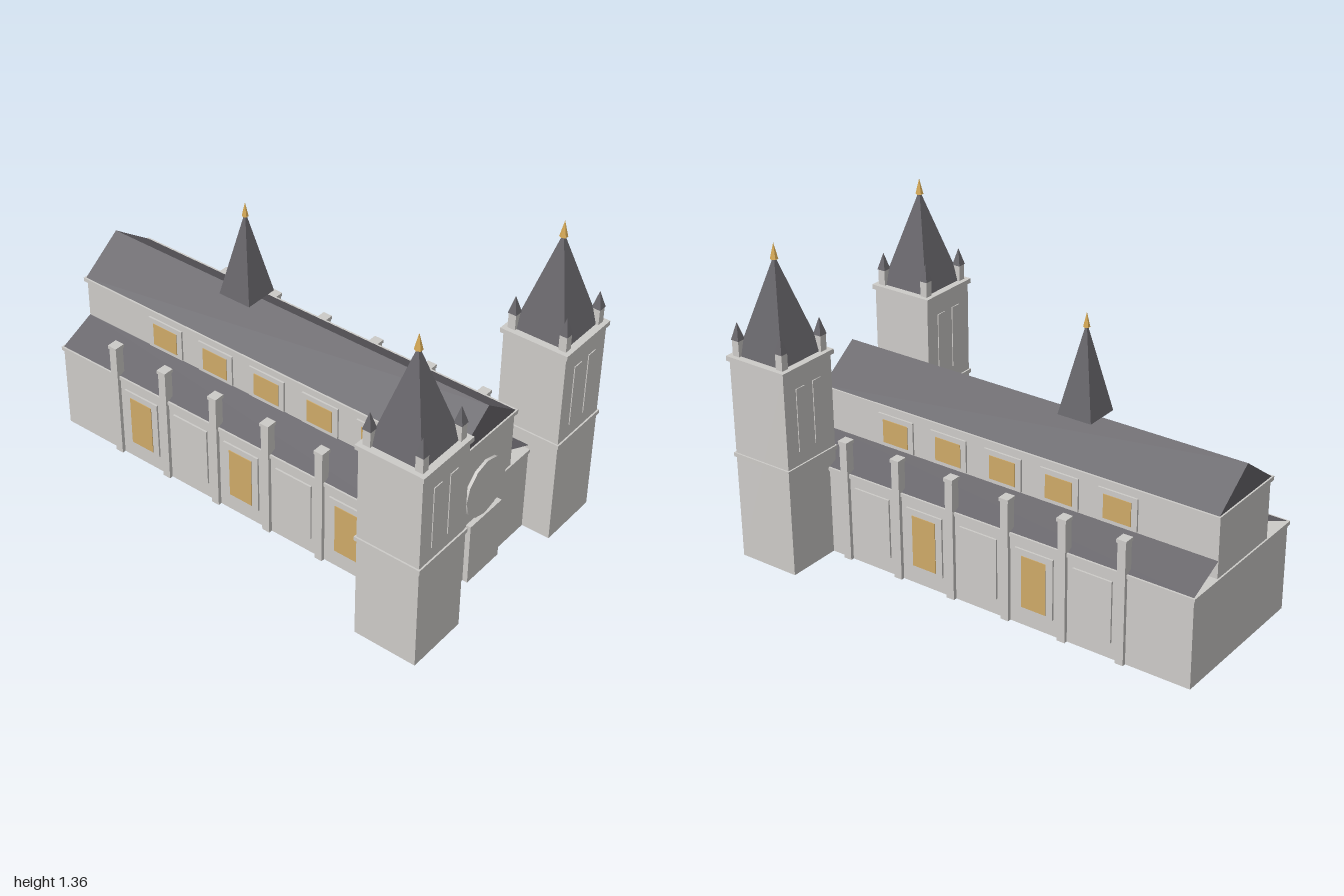
import * as THREE from 'three';

const mat = (name, color, opts = {}) => {
  const m = new THREE.MeshStandardMaterial({ color, ...opts });
  m.name = name;
  return m;
};

export function createModel() {
  const stone = mat('stone', 0xcdcbc8);
  const slate = mat('slate', 0x67656a, { flatShading: true });
  const slateSheet = mat('slateSheet', 0x67656a, { side: THREE.DoubleSide });
  const glass = mat('amberGlass', 0xcfaa68);
  const gold = mat('gold', 0xd6a955, { flatShading: true });

  const model = new THREE.Group();
  model.name = 'church';

  const add = (parent, name, geo, material, x, y, z) => {
    const mesh = new THREE.Mesh(geo, material);
    mesh.name = name;
    mesh.position.set(x, y, z);
    parent.add(mesh);
    return mesh;
  };
  // box given by its centre in x and z and its bottom and top in y
  const block = (parent, name, w, d, y0, y1, x, z, material = stone) =>
    add(parent, name, new THREE.BoxGeometry(w, y1 - y0, d), material, x, (y0 + y1) / 2, z);
  // square pyramid with sides along the axes
  const pyramid = (parent, name, w, y0, y1, x, z) =>
    add(parent, name, new THREE.ConeGeometry(w / Math.SQRT2, y1 - y0, 4).rotateY(Math.PI / 4),
      slate, x, (y0 + y1) / 2, z);
  const finial = (parent, r, y0, y1, x, z) =>
    add(parent, 'finial', new THREE.ConeGeometry(r, y1 - y0, 6).rotateY(Math.PI / 6), gold, x, (y0 + y1) / 2, z);

  // main body: low aisles with the taller nave through the middle
  const zBack = -0.993, zFront = 0.865;
  const len = zFront - zBack, zMid = (zFront + zBack) / 2, lip = 0.014;
  block(model, 'aisleWalls', 0.686, len, 0, 0.374, 0, zMid);
  block(model, 'aisleCornice', 0.70, len + lip, 0.374, 0.39, 0, zMid);
  block(model, 'naveWalls', 0.362, len, 0.39, 0.635, 0, zMid);
  block(model, 'naveCornice', 0.39, len + lip, 0.635, 0.652, 0, zMid);

  // gabled nave roof
  const gable = new THREE.Shape([
    new THREE.Vector2(-0.187, 0.652), new THREE.Vector2(0.187, 0.652), new THREE.Vector2(0, 0.787),
  ]);
  add(model, 'naveRoof', new THREE.ExtrudeGeometry(gable, { depth: len, bevelEnabled: false }), slate, 0, 0, zBack);

  // thin lean-to roofs over the aisles
  const run = 0.343 - 0.181, rise = 0.465 - 0.391;
  for (const s of [-1, 1]) {
    const sheet = new THREE.PlaneGeometry(Math.hypot(run, rise), len)
      .rotateX(-Math.PI / 2).rotateZ(-s * Math.atan2(rise, run));
    add(model, 'aisleRoof', sheet, slateSheet, s * (0.343 + 0.181) / 2, (0.391 + 0.465) / 2, zMid);
  }

  // buttresses and windows along both sides
  const pitch = 0.2635, zFirst = 0.625;
  for (const s of [-1, 1]) {
    for (let i = 0; i < 6; i++) {
      const z = zFirst - i * pitch;
      block(model, 'buttress', 0.04, 0.036, 0, 0.52, s * 0.339, z);
      block(model, 'buttressCap', 0.047, 0.043, 0.52, 0.535, s * 0.339, z);
    }
    for (let i = 0; i < 5; i++) {
      const z = zFirst - (i + 0.5) * pitch;
      block(model, 'lowerWindowFrame', 0.012, 0.175, 0.073, 0.337, s * 0.345, z);
      // lit lower windows alternate between the two sides
      if ((i % 2 === 1) === (s > 0)) {
        block(model, 'lowerWindow', 0.006, 0.113, 0.085, 0.31, s * 0.351, z, glass);
      }
      block(model, 'upperWindowFrame', 0.012, 0.175, 0.47, 0.61, s * 0.183, z);
      block(model, 'upperWindow', 0.006, 0.123, 0.487, 0.588, s * 0.189, z, glass);
    }
  }

  // portal and round window on the front
  block(model, 'portal', 0.206, 0.03, 0, 0.28, 0, 0.872);
  add(model, 'roundWindow', new THREE.CylinderGeometry(0.127, 0.127, 0.02, 12).rotateX(Math.PI / 2),
    stone, 0, 0.406, 0.868);

  // slender spire above the ridge
  pyramid(model, 'ridgeSpire', 0.152, 0.787, 1.16, 0, -0.287);
  finial(model, 0.0135, 1.14, 1.2, 0, -0.287);

  // twin front towers
  for (const s of [-1, 1]) {
    const tower = new THREE.Group();
    tower.name = s > 0 ? 'leftTower' : 'rightTower';
    tower.position.set(s * 0.444, 0, 0.852);
    model.add(tower);
    block(tower, 'towerShaft', 0.277, 0.277, 0, 0.878, 0, 0);
    block(tower, 'towerBand', 0.291, 0.291, 0.456, 0.473, 0, 0);
    block(tower, 'towerCornice', 0.296, 0.296, 0.876, 0.896, 0, 0);
    pyramid(tower, 'towerSpire', 0.234, 0.896, 1.305, 0, 0);
    finial(tower, 0.0165, 1.288, 1.355, 0, 0);
    for (const a of [-1, 1]) {
      for (const b of [-1, 1]) {
        // tall belfry panels on the front and back faces
        block(tower, 'belfryPanel', 0.047, 0.008, 0.53, 0.803, a * 0.048, b * 0.1385);
        // corner pinnacles
        block(tower, 'pinnacle', 0.033, 0.033, 0.896, 0.963, a * 0.112, b * 0.112);
        pyramid(tower, 'pinnacleTop', 0.038, 0.963, 1.036, a * 0.112, b * 0.112);
      }
    }
  }
  return model;
}
